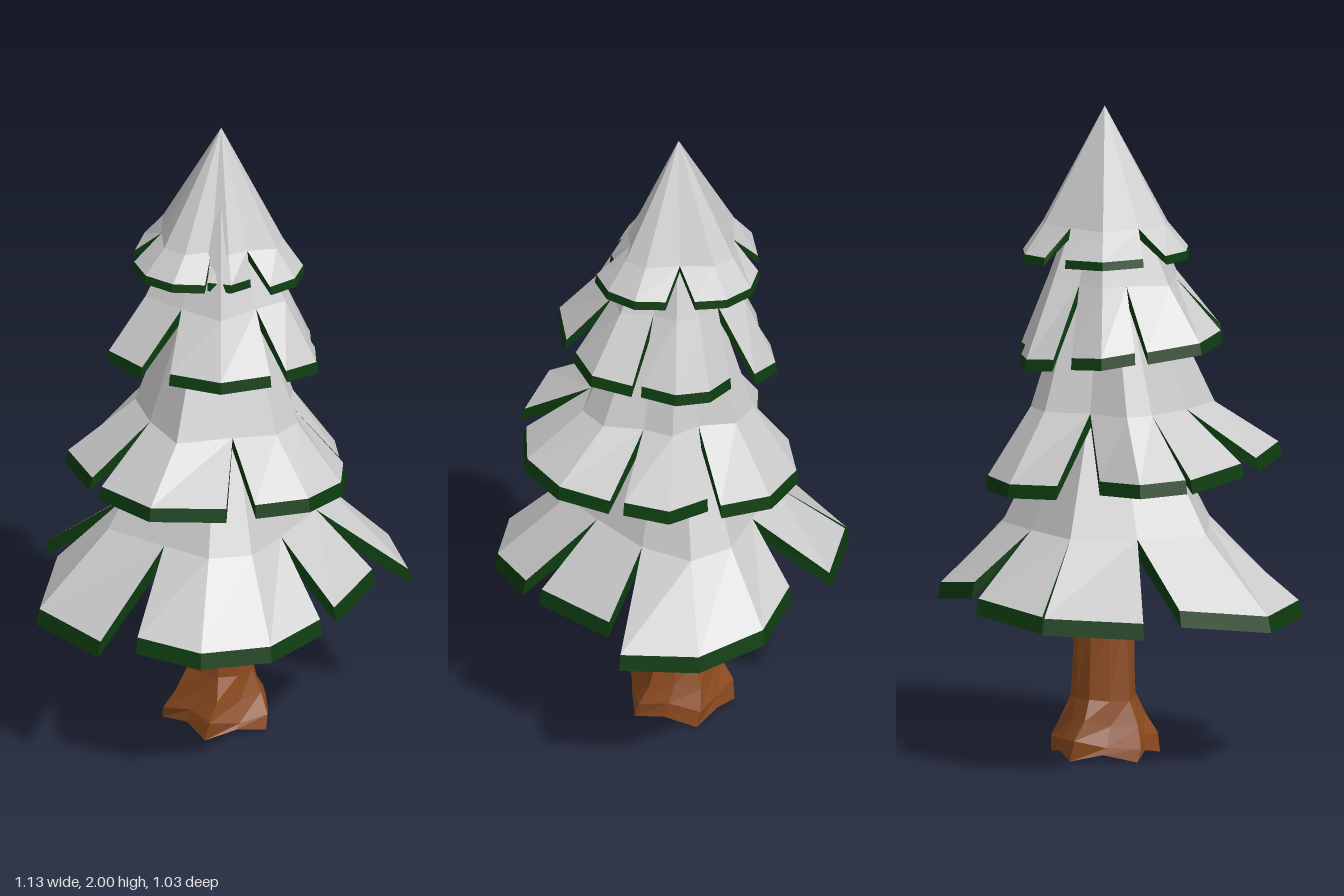
import * as THREE from 'three';

const CX = 0.035, CZ = 0.025; // tree axis

const material = (color) => new THREE.MeshStandardMaterial({ color, flatShading: true });

// Point at an angle and radius round the tree axis
const around = (angle, r, y) =>
  new THREE.Vector3(CX + Math.cos(angle) * r, y, CZ + Math.sin(angle) * r);

// Collects quads and triangles (counter-clockwise) into one faceted mesh
class Faces {
  constructor() { this.pos = []; }
  tri(a, b, c) { for (const p of [a, b, c]) this.pos.push(p.x, p.y, p.z); }
  quad(a, b, c, d) { this.tri(a, b, c); this.tri(a, c, d); }
  mesh(name, mat) {
    const g = new THREE.BufferGeometry();
    g.setAttribute('position', new THREE.Float32BufferAttribute(this.pos, 3));
    g.computeVertexNormals();
    const m = new THREE.Mesh(g, mat);
    m.name = name;
    return m;
  }
}

// Each bough: start angle, end angle (degrees), rim radius at start and end
const bottomBoughs = [
  [-111, -79, 0.573, 0.55], [-78, -45, 0.542, 0.484], [-25, 48, 0.42, 0.58],
  [57, 92, 0.473, 0.48], [101, 167, 0.5, 0.55], [177, 234, 0.605, 0.51],
];
const lowerBoughs = [
  [-132, -96, 0.46, 0.3], [-74, 7, 0.35, 0.335], [12, 57, 0.29, 0.37],
  [63, 126, 0.39, 0.475], [137, 188, 0.5, 0.49], [197, 227, 0.47, 0.475],
];
const upperBoughs = [
  [-118, -76, 0.285, 0.263], [-65, -29, 0.285, 0.275], [-13, 54, 0.235, 0.28],
  [59, 102, 0.295, 0.335], [113, 165, 0.35, 0.36], [181, 236, 0.365, 0.31],
];
const topBoughs = [
  [-125, -70, 0.27, 0.25], [-51, 17, 0.25, 0.225], [40, 104, 0.227, 0.265],
  [110, 151, 0.187, 0.2], [152, 218, 0.22, 0.275],
];

// Shoulder = ring where the cone splits into boughs, as a share of the rim radius.
// tiltX and tiltZ slant the rim, rise lifts the short boughs.
const TIERS = [
  { name: 'bottomTier', boughs: bottomBoughs, apex: 1.36, shoulderY: 0.71, share: 0.61, rimY: 0.455, tiltX: 0, tiltZ: 0, rise: 0.35, thick: 0.05 },
  { name: 'lowerMiddleTier', boughs: lowerBoughs, apex: 1.8, shoulderY: 1.08, share: 0.62, rimY: 0.862, tiltX: -0.075, tiltZ: 0.05, rise: 0, thick: 0.042 },
  { name: 'upperMiddleTier', boughs: upperBoughs, apex: 1.95, shoulderY: 1.47, share: 0.66, rimY: 1.245, tiltX: -0.1, tiltZ: 0.05, rise: 0, thick: 0.036 },
  { name: 'topTier', boughs: topBoughs, apex: 2, shoulderY: 1.645, share: 0.74, rimY: 1.537, tiltX: -0.03, tiltZ: 0, rise: 0, thick: 0.026 },
];

function makeTier(spec, snowMat, needleMat) {
  const { name, boughs, apex, shoulderY, share, rimY, tiltX, tiltZ, rise, thick } = spec;
  const snow = new Faces(), needles = new Faces();
  const tip = new THREE.Vector3(CX, apex, CZ);
  const roof = new THREE.Vector3(CX, shoulderY + 0.04, CZ);
  const n = boughs.length;

  boughs.forEach(([start, end, r0, r1], i) => {
    const prev = boughs[(i + n - 1) % n], next = boughs[(i + 1) % n];
    const prevEnd = prev[1] - (i === 0 ? 360 : 0);
    const nextStart = next[0] + (i === n - 1 ? 360 : 0);
    const segments = Math.max(1, Math.round((end - start) / 24));
    const cols = [];
    for (let j = 0; j <= segments; j++) {
      const t = j / segments;
      const deg = start + (end - start) * t;
      const r = (r0 + (r1 - r0) * t) * (1 + 0.1 * Math.sin(Math.PI * t));
      let inner = deg, innerR = r * share;
      // neighbouring boughs meet midway at the shoulder, forming a notch
      if (j === 0) {
        inner = (prevEnd + start) / 2;
        innerR = (prev[3] + r0) / 2 * share * 0.9;
      } else if (j === segments) {
        inner = (end + nextStart) / 2;
        innerR = (r1 + next[2]) / 2 * share * 0.9;
      }
      const a = THREE.MathUtils.degToRad(deg), b = THREE.MathUtils.degToRad(inner);
      const y = rimY + tiltX * Math.cos(a) * r + tiltZ * Math.sin(a) * r + rise * (0.55 - r);
      cols.push({
        shoulder: around(b, innerR, shoulderY),
        under: around(b, innerR * 0.95, shoulderY - thick),
        rim: around(a, r * 0.98, y + thick),
        low: around(a, r, y),
      });
    }
    for (let j = 0; j < segments; j++) {
      const a = cols[j], b = cols[j + 1];
      snow.tri(tip, b.shoulder, a.shoulder);
      snow.quad(a.shoulder, b.shoulder, b.rim, a.rim);
      needles.quad(a.rim, b.rim, b.low, a.low);
      needles.quad(b.under, a.under, a.low, b.low);
      needles.tri(roof, a.under, b.under);
    }
    // cut sides of the bough
    const s = cols[0], e = cols[segments];
    needles.quad(s.shoulder, s.rim, s.low, s.under);
    needles.quad(e.rim, e.shoulder, e.under, e.low);
  });

  const tier = new THREE.Group();
  tier.name = name;
  tier.add(snow.mesh('snowCover', snowMat), needles.mesh('needles', needleMat));
  return tier;
}

// Faceted trunk whose foot spreads into root lobes
function makeTrunk(mat) {
  const rings = [ // height, radius, root lobe depth, twist
    [0, 0.155, 0.018, 0.2], [0.05, 0.15, 0.02, 0.12], [0.11, 0.122, 0.016, 0],
    [0.18, 0.1, 0.005, 0], [0.45, 0.09, 0, 0], [0.78, 0.075, 0, 0],
  ];
  const sides = 10;
  const point = ([y, r, lobe, twist], k) => {
    const out = k % 2 ? -1 : 1;
    const radius = r + lobe * out + lobe * 0.4 * Math.sin(k * 2.3);
    const h = y === 0 ? 0.01 - 0.01 * out : y + lobe * 0.8 * Math.sin(k * 1.7);
    return around((k / sides) * Math.PI * 2 + twist, radius, h);
  };
  const f = new Faces();
  const foot = new THREE.Vector3(CX, 0.02, CZ);
  for (let k = 0; k < sides; k++) {
    const m = (k + 1) % sides;
    for (let i = 0; i < rings.length - 1; i++) {
      const lo = rings[i], hi = rings[i + 1];
      f.quad(point(hi, k), point(hi, m), point(lo, m), point(lo, k));
    }
    f.tri(foot, point(rings[0], k), point(rings[0], m));
  }
  return f.mesh('trunk', mat);
}

export function createModel() {
  const tree = new THREE.Group();
  tree.name = 'snowyPineTree';
  const snowMat = material(0xcccccc), needleMat = material(0x0d3c10);
  tree.add(makeTrunk(material(0x8b4a1e)));
  for (const t of TIERS) tree.add(makeTier(t, snowMat, needleMat));
  return tree;
}
